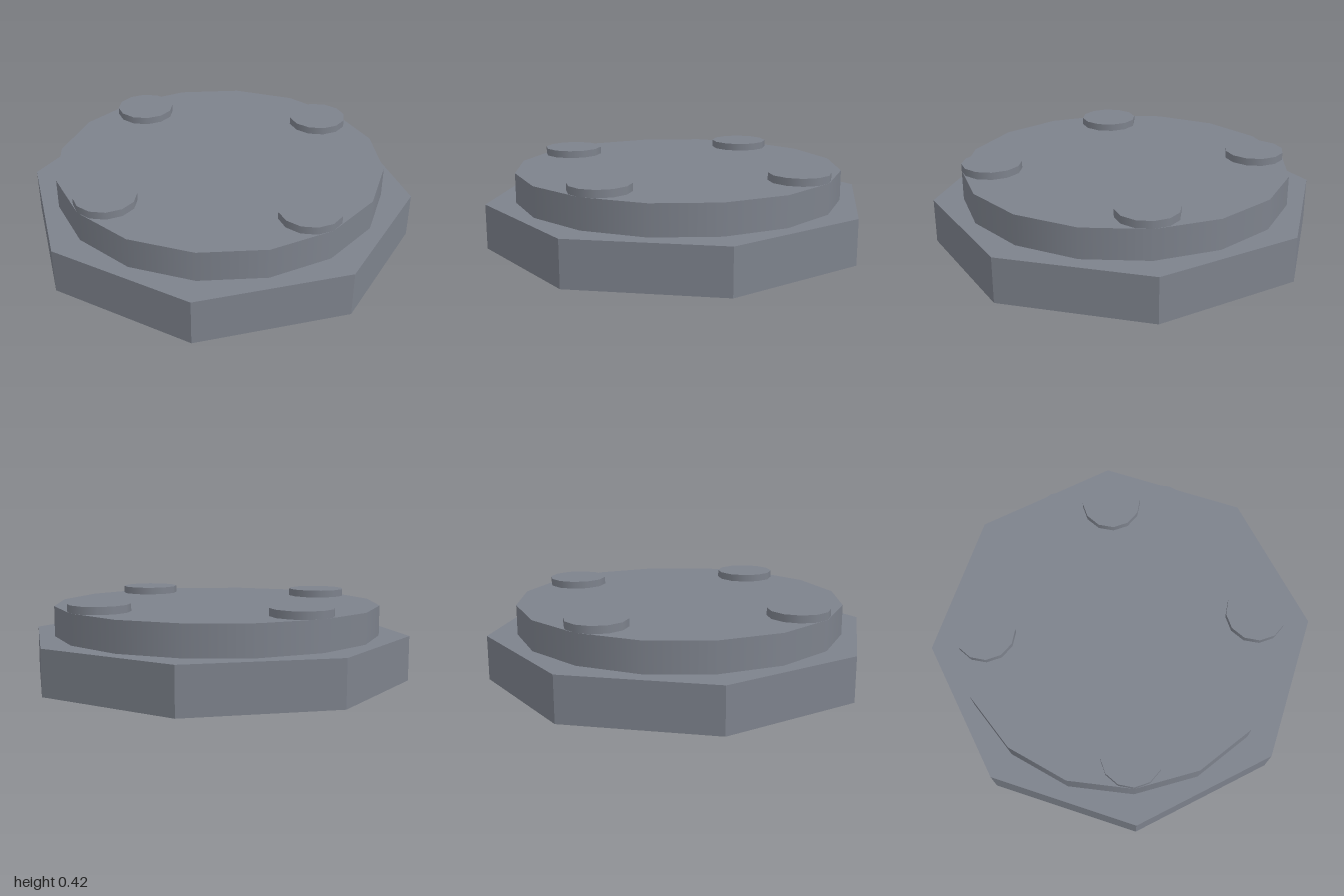
import * as THREE from 'three';

// Upright prism standing on y = bottom, with a corner on each axis
function prism(name, radius, bottom, top, sides, flatShading) {
  const geometry = new THREE.CylinderGeometry(radius, radius, top - bottom, sides);
  const material = new THREE.MeshStandardMaterial({ color: 0x7d828c, flatShading });
  const mesh = new THREE.Mesh(geometry, material);
  mesh.name = name;
  mesh.position.y = (bottom + top) / 2;
  return mesh;
}

export function createModel() {
  const model = new THREE.Group();
  model.name = 'studdedPlate';

  const baseTop = 0.231, discTop = 0.385, studTop = 0.423;

  // Faceted octagonal base and the round disc on it
  model.add(prism('base', 1, 0, baseTop, 8, true));
  model.add(prism('disc', 0.846, baseTop, discTop, 16, false));

  // Four low studs around the rim of the disc
  const studs = new THREE.Group();
  studs.name = 'studs';
  for (let i = 0; i < 4; i++) {
    const angle = (i * Math.PI) / 2;
    const stud = prism('stud', 0.154, discTop, studTop, 12, false);
    stud.position.x = 0.692 * Math.cos(angle);
    stud.position.z = 0.692 * Math.sin(angle);
    studs.add(stud);
  }
  model.add(studs);

  return model;
}
